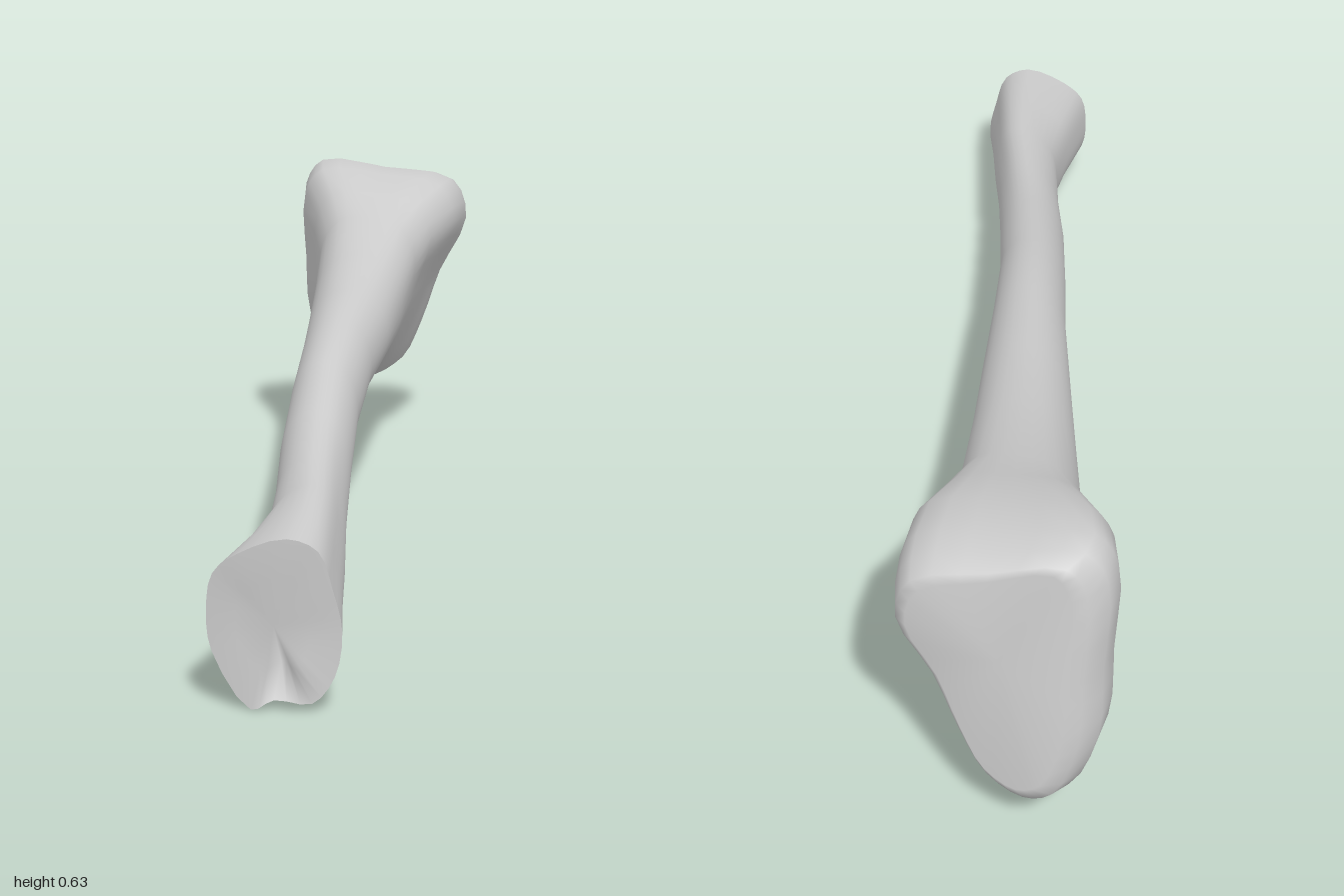
import * as THREE from 'three';

// Cross-section outlines in a -1..1 box, counter-clockwise from the +x side
const HEAD = [[0.6, 0.02], [0.97, 0.52], [0.8, 0.86], [0, 0.95], [-0.78, 1], [-1, 0.78],
  [-1, 0.1], [-0.98, -0.48], [-0.72, -0.92], [-0.4, -1], [0.02, -0.85], [0.32, -0.48]];
const FOOT = [[1, -0.08], [0.88, 0.4], [0.68, 0.86], [0.24, 1], [-0.5, 0.8], [-0.9, 0.55],
  [-1, 0.1], [-0.92, -0.35], [-0.3, -1], [0.05, -0.87], [0.6, -0.9], [0.9, -0.6]];
const ROUND = HEAD.map((_, k) => [Math.cos(k * Math.PI / 6), Math.sin(k * Math.PI / 6)]);

// z, x min, x max, y min, y max, share of head outline, share of foot outline
const SECTIONS = [
  [-1.00, -0.345, -0.085, 0.155, 0.595, 1, 0],
  [-0.99, -0.37, -0.065, 0.13, 0.608, 1, 0],
  [-0.95, -0.395, -0.05, 0.122, 0.62, 1, 0],
  [-0.90, -0.40, -0.04, 0.138, 0.628, 1, 0],
  [-0.81, -0.375, -0.028, 0.178, 0.62, 0.88, 0],
  [-0.70, -0.315, -0.04, 0.215, 0.585, 0.65, 0],
  [-0.60, -0.27, -0.04, 0.242, 0.545, 0.35, 0],
  [-0.40, -0.20, 0.00, 0.27, 0.495, 0.12, 0],
  [-0.20, -0.13, 0.042, 0.278, 0.46, 0, 0],
  [0.00, -0.06, 0.085, 0.268, 0.44, 0, 0],
  [0.20, 0.00, 0.135, 0.22, 0.40, 0, 0],
  [0.40, 0.063, 0.20, 0.168, 0.348, 0, 0.1],
  [0.57, 0.125, 0.258, 0.11, 0.312, 0, 0.25],
  [0.72, 0.175, 0.315, 0.062, 0.303, 0, 0.55],
  [0.85, 0.187, 0.362, 0.032, 0.292, 0, 0.85],
  [0.97, 0.19, 0.40, 0.002, 0.283, 0, 1],
];
const SIDES = 36;

// One closed ring of points
function ring([z, x0, x1, y0, y1, head, foot], last) {
  const tilt = THREE.MathUtils.clamp((-0.6 - z) / 0.4, 0, 1);
  const control = ROUND.map(([x, y], k) => {
    const round = 1 - head - foot;
    const u = x * round + HEAD[k][0] * head + FOOT[k][0] * foot;
    const v = y * round + HEAD[k][1] * head + FOOT[k][1] * foot;
    // The head plate leans back at its upper right corner
    let dz = tilt * (0.02 * (v + 1) * (1 - u) + 0.008 * (1 - v));
    // The lower end is cut at a slight slant
    if (last) dz += 0.028 - 0.006 * (u + 1) - 0.005 * (u + 1) ** 3;
    return new THREE.Vector3((x0 + x1) / 2 + u * (x1 - x0) / 2, (y0 + y1) / 2 + v * (y1 - y0) / 2, z + dz);
  });
  return new THREE.CatmullRomCurve3(control, true).getPoints(SIDES).slice(0, SIDES);
}

function geometryFrom(points, index) {
  const geometry = new THREE.BufferGeometry().setFromPoints(points);
  geometry.setIndex(index);
  geometry.computeVertexNormals();
  return geometry;
}

export function createModel() {
  const group = new THREE.Group();
  group.name = 'longBone';
  const material = new THREE.MeshStandardMaterial({ color: 0xcccccc });
  const add = (name, geometry) => {
    const mesh = new THREE.Mesh(geometry, material);
    mesh.name = name;
    group.add(mesh);
  };
  const rings = SECTIONS.map((s, i) => ring(s, i === SECTIONS.length - 1));

  // Shaft with the broad head, closed at the back
  const points = rings.flat();
  const index = [];
  for (let i = 0; i < rings.length - 1; i++) {
    for (let j = 0; j < SIDES; j++) {
      const a = i * SIDES + j, b = i * SIDES + (j + 1) % SIDES;
      index.push(a, b, a + SIDES, b, b + SIDES, a + SIDES);
    }
  }
  const hub = points.push(new THREE.Vector3(-0.235, 0.42, -0.965)) - 1;
  for (let j = 0; j < SIDES; j++) index.push((j + 1) % SIDES, j, hub);
  add('shaftAndHead', geometryFrom(points, index));

  // Joint face at the lower end: rim, raised middle ring with a groove below, hub
  const rim = rings[rings.length - 1];
  const middle = new THREE.Vector3(0.295, 0.14, 0.975);
  const inner = rim.map((p, j) => {
    const q = p.clone().lerp(middle, 0.45);
    const t = j / SIDES * 12 - 9;
    q.z += 0.004 - 0.035 * Math.exp(-t * t * 2);
    return q;
  });
  const facePoints = [...rim, ...inner, middle];
  const faceIndex = [];
  for (let j = 0; j < SIDES; j++) {
    const k = (j + 1) % SIDES;
    faceIndex.push(j, k, j + SIDES, k, k + SIDES, j + SIDES, j + SIDES, k + SIDES, 2 * SIDES);
  }
  add('jointFace', geometryFrom(facePoints, faceIndex));
  return group;
}
